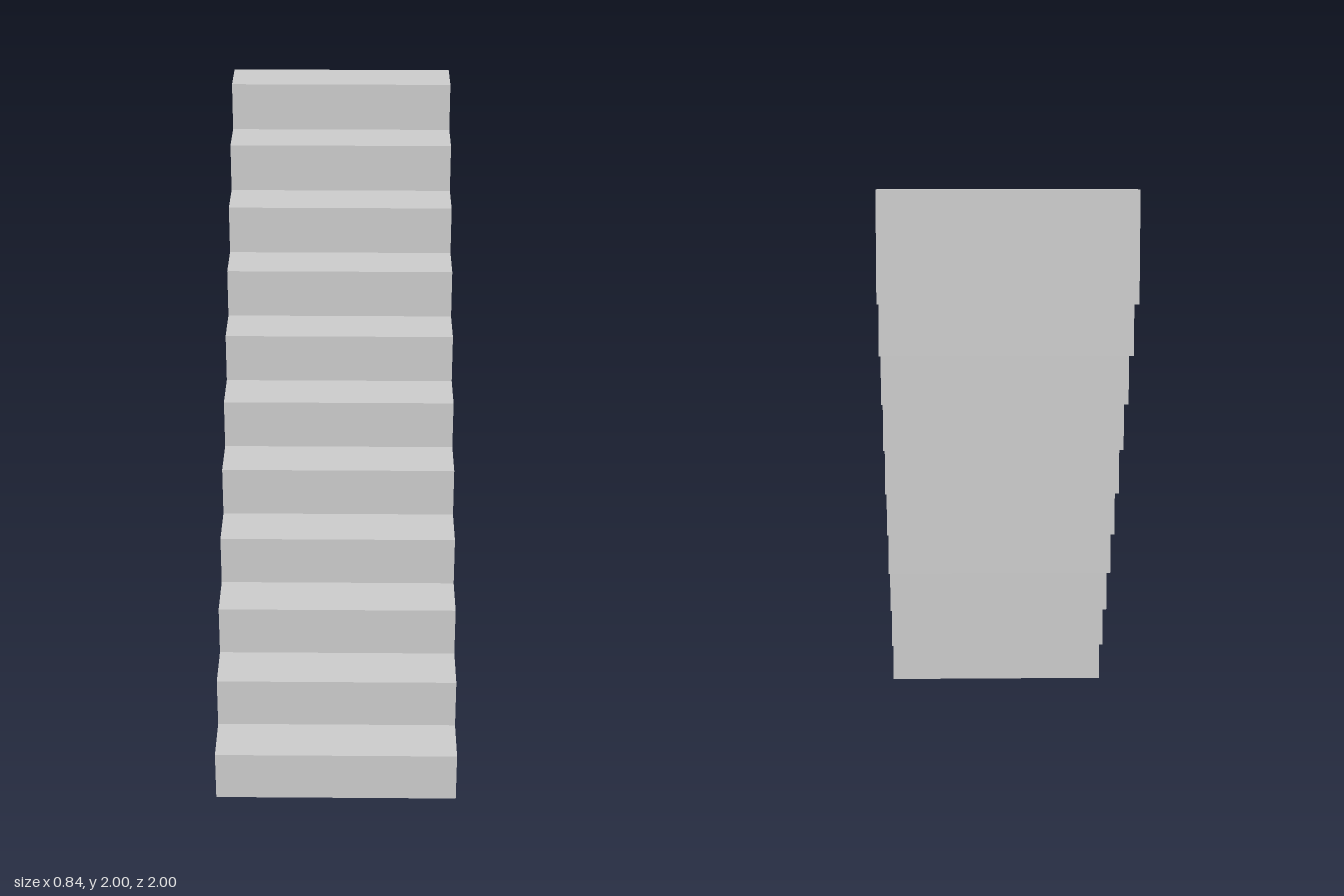
import * as THREE from 'three';

const STEPS = 11;
const SIZE = 2 / STEPS; // tread depth and riser height
const WIDTH = 0.84;

// Stepped side profile: x runs towards the back, y up
function stairProfile() {
  const shape = new THREE.Shape();
  shape.moveTo(-1, 0);
  // stepped underside, starting behind the two-tread base
  for (let i = 2; i < STEPS; i++) {
    shape.lineTo(-1 + i * SIZE, (i - 2) * SIZE);
    shape.lineTo(-1 + i * SIZE, (i - 1) * SIZE);
  }
  shape.lineTo(1, (STEPS - 2) * SIZE);
  // treads and risers, from the top down
  for (let i = STEPS; i > 0; i--) {
    shape.lineTo(-1 + i * SIZE, i * SIZE);
    shape.lineTo(-1 + (i - 1) * SIZE, i * SIZE);
  }
  shape.closePath();
  return shape;
}

export function createModel() {
  const group = new THREE.Group();
  group.name = 'staircase';

  // Solid flight, extruded across its width and turned to face +z
  const geometry = new THREE.ExtrudeGeometry(stairProfile(), { depth: WIDTH, bevelEnabled: false });
  geometry.translate(0, 0, -WIDTH / 2);
  geometry.rotateY(Math.PI / 2);

  const flight = new THREE.Mesh(geometry, new THREE.MeshStandardMaterial({ color: 0xcccccc }));
  flight.name = 'stairFlight';
  group.add(flight);
  return group;
}
